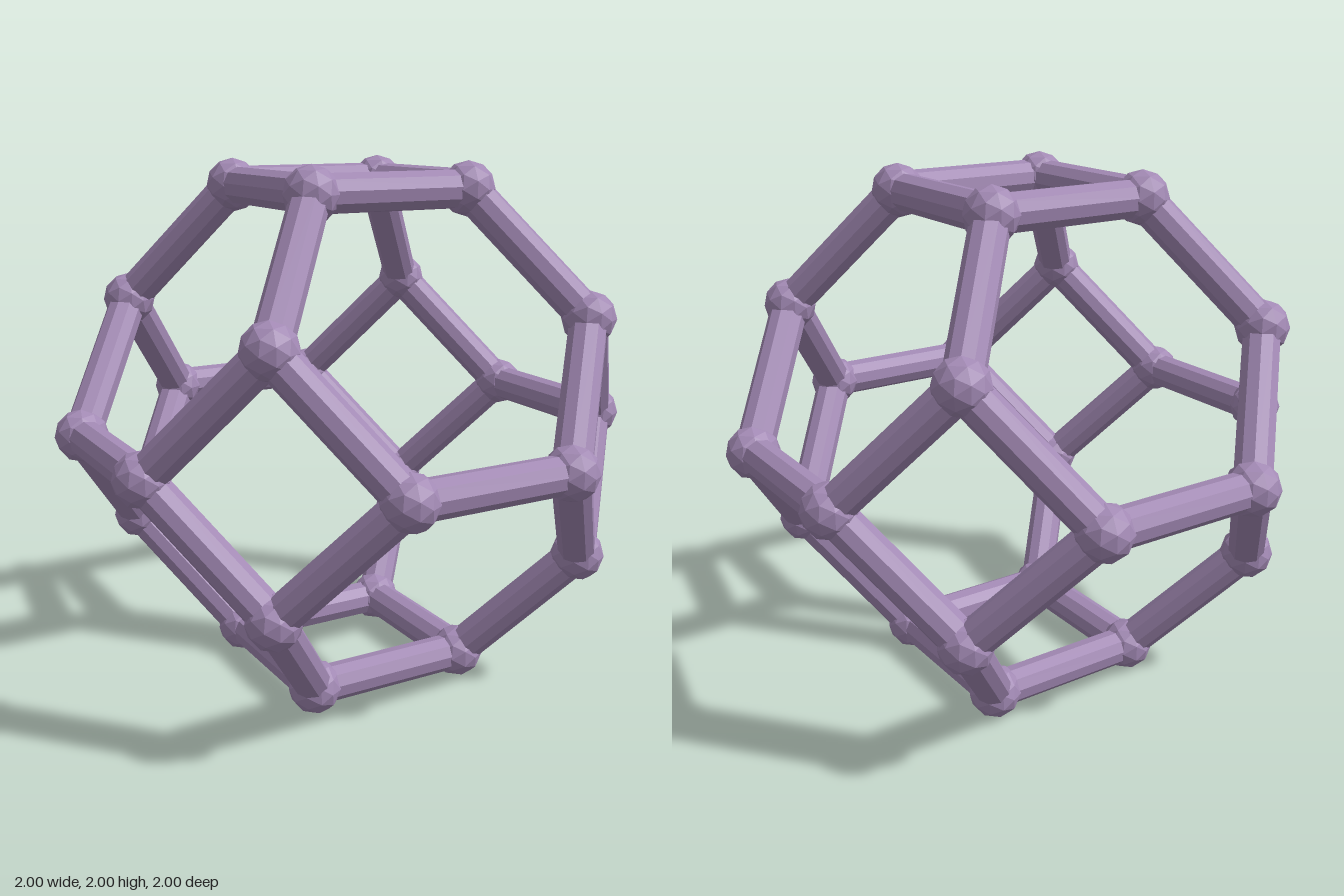
import * as THREE from 'three';

const OUTER = 0.9, INNER = 0.45; // corners are all permutations of (0, ±INNER, ±OUTER)
const JOINT_RADIUS = 0.1, STRUT_RADIUS = 0.07;

function cornerPoints() {
  const points = [];
  for (const [zero, inner, outer] of [[0, 1, 2], [0, 2, 1], [1, 0, 2], [1, 2, 0], [2, 0, 1], [2, 1, 0]]) {
    for (const s of [-1, 1]) for (const t of [-1, 1]) {
      const p = new THREE.Vector3();
      p.setComponent(zero, 0);
      p.setComponent(inner, s * INNER);
      p.setComponent(outer, t * OUTER);
      points.push(p);
    }
  }
  return points;
}

export function createModel() {
  const model = new THREE.Group();
  model.name = 'truncatedOctahedronFrame';
  const frame = new THREE.Group();
  frame.name = 'frame';
  frame.position.y = 1;
  model.add(frame);

  const material = new THREE.MeshStandardMaterial({ color: 0xa38ab5, flatShading: true });
  const corners = cornerPoints();
  const edgeLength = INNER * Math.SQRT2;

  // Faceted ball at every corner
  const jointGeometry = new THREE.IcosahedronGeometry(JOINT_RADIUS, 1);
  const joints = new THREE.Group();
  joints.name = 'joints';
  for (const p of corners) {
    const joint = new THREE.Mesh(jointGeometry, material);
    joint.name = 'joint';
    joint.position.copy(p);
    joints.add(joint);
  }

  // Strut between each pair of neighbouring corners
  const strutGeometry = new THREE.CylinderGeometry(STRUT_RADIUS, STRUT_RADIUS, edgeLength, 10);
  const struts = new THREE.Group();
  struts.name = 'struts';
  const up = new THREE.Vector3(0, 1, 0);
  corners.forEach((a, i) => {
    for (const b of corners.slice(i + 1)) {
      if (Math.abs(a.distanceTo(b) - edgeLength) > 0.01) continue;
      const strut = new THREE.Mesh(strutGeometry, material);
      strut.name = 'strut';
      strut.position.copy(a).lerp(b, 0.5);
      strut.quaternion.setFromUnitVectors(up, b.clone().sub(a).normalize());
      struts.add(strut);
    }
  });

  frame.add(joints, struts);
  return model;
}
